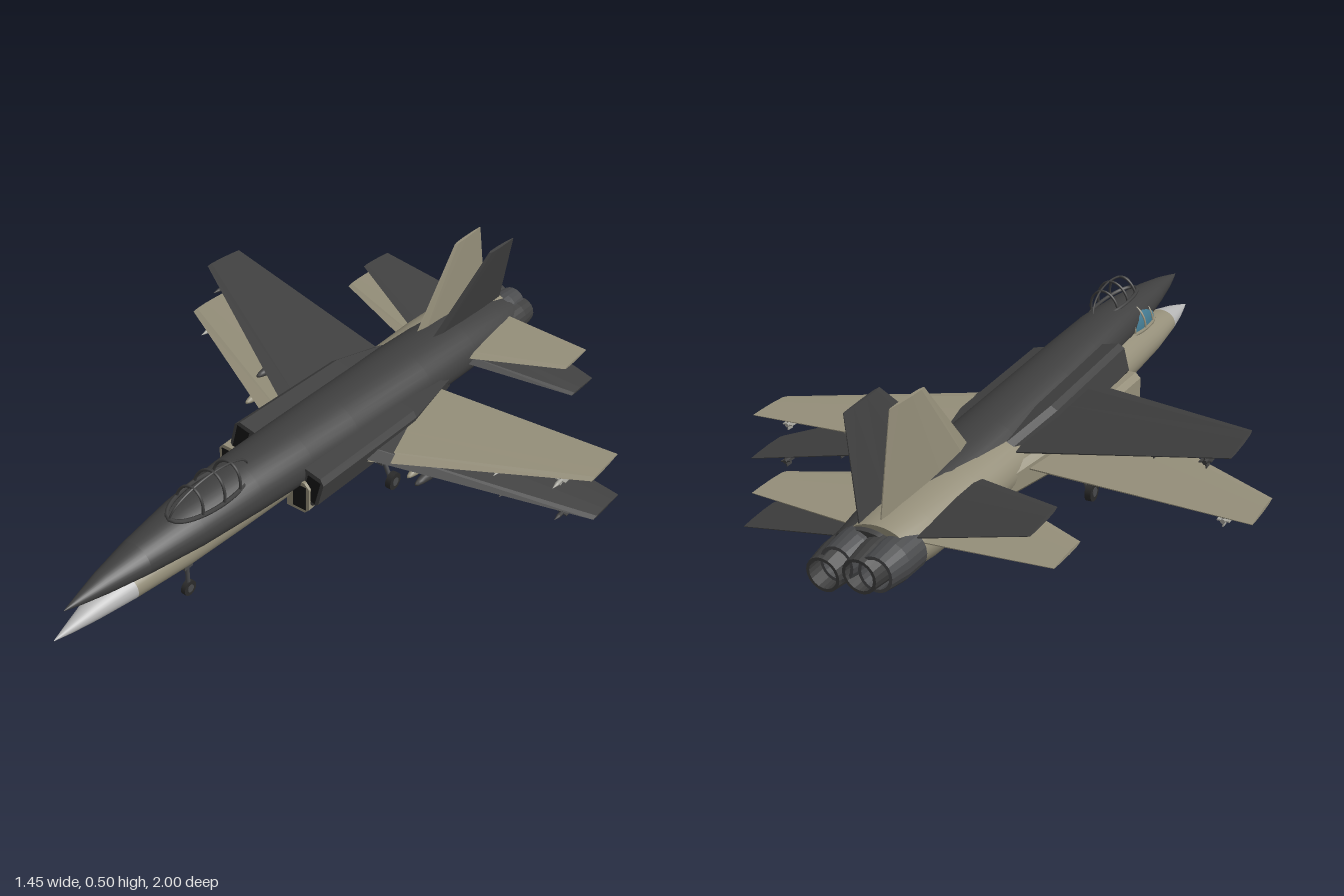
import * as THREE from 'three';

const mat = (name, color) => {
  const m = new THREE.MeshStandardMaterial({ color });
  m.name = name;
  return m;
};
const tan = mat('tan', 0x948e79);
const dark = mat('charcoal', 0x3f3f3f);
const noseGrey = mat('radome grey', 0xb4b4b4);
const glass = mat('canopy blue', 0x42788f);
const metal = mat('dark metal', 0x48494b);
const rubber = mat('rubber', 0x2a2a2a);
const black = mat('intake black', 0x161616);
const pale = mat('store grey', 0xa5a49c);

const V = (x, y, z) => new THREE.Vector3(x, y, z);

// Skin a list of rings, closing both ends with a fan
function loft(rings, { flip = false, flat = false } = {}) {
  const cap = r => {
    const c = r.reduce((s, p) => s.add(p), V(0, 0, 0)).divideScalar(r.length);
    return r.map(() => c);
  };
  const first = rings[0], last = rings[rings.length - 1];
  const all = [cap(first), first, ...rings, last, cap(last)];
  const n = first.length, idx = [];
  for (let i = 0; i < all.length - 1; i++) {
    for (let j = 0; j < n; j++) {
      const a = i * n + j, b = i * n + (j + 1) % n, c = a + n, d = b + n;
      if (flip) idx.push(a, b, c, b, d, c);
      else idx.push(a, c, b, b, c, d);
    }
  }
  let g = new THREE.BufferGeometry().setFromPoints(all.flat());
  g.setIndex(idx);
  if (flat) g = g.toNonIndexed();
  g.computeVertexNormals();
  return g;
}

// Elliptical body section: [z, half width, top, bottom]
const oval = ([z, w, top, bot]) => Array.from({ length: 32 }, (_, j) => {
  const a = j / 32 * Math.PI * 2;
  return V(w * Math.cos(a), (top + bot) / 2 + (top - bot) / 2 * Math.sin(a), z);
});

// Tapered surface: stations [x, leading z, trailing z, thickness] at height y
function surface(stations, y, side) {
  const foil = [[0, 0], [0.12, 0.4], [0.4, 0.5], [0.75, 0.35], [1, 0.08],
    [1, -0.08], [0.75, -0.35], [0.4, -0.5], [0.12, -0.4]];
  const rings = stations.map(([x, le, te, t]) =>
    foil.map(([u, h]) => V(side * x, y + h * t, le + (te - le) * u)));
  return loft(rings, { flip: side < 0, flat: true });
}

function add(parent, name, geo, material, pos) {
  const m = new THREE.Mesh(geo, material);
  m.name = name;
  if (pos) m.position.set(...pos);
  parent.add(m);
  return m;
}

function rod(parent, name, a, b, r, material) {
  const m = add(parent, name, new THREE.CylinderGeometry(r, r, a.distanceTo(b), 10), material);
  m.position.copy(a).lerp(b, 0.5);
  m.quaternion.setFromUnitVectors(V(0, 1, 0), b.clone().sub(a).normalize());
}

const along = g => g.rotateX(Math.PI / 2);

function canopy(jet, paint, glazed) {
  const zc = 0.52, len = 0.145, w = 0.05, base = 0.068, h = 0.068;
  if (glazed) {
    const dome = new THREE.SphereGeometry(1, 32, 12, 0, Math.PI * 2, 0, Math.PI / 2);
    add(jet, 'canopyGlass', dome.scale(w, h, len), glass, [0, base, zc]);
  }
  const tube = (name, fn, closed, r = 0.004) => {
    const pts = Array.from({ length: 24 }, (_, i) => fn(i / (closed ? 24 : 23)));
    const curve = new THREE.CatmullRomCurve3(pts, closed);
    add(jet, name, new THREE.TubeGeometry(curve, 40, r, 6, closed), paint);
  };
  tube('canopyRail', t => V(w * Math.cos(t * 2 * Math.PI), base, zc + len * Math.sin(t * 2 * Math.PI)), true, 0.006);
  for (const u of [-0.45, 0, 0.5]) {
    const k = Math.sqrt(1 - u * u);
    tube('canopyArch', t => V(k * w * Math.cos(t * Math.PI), base + k * h * Math.sin(t * Math.PI), zc + u * len), false);
  }
  tube('canopySpine', t => V(0, base + h * Math.sin(t * Math.PI), zc + len * Math.cos(t * Math.PI)), false, 0.003);
}

// Missile with pylon and crossed fins
function missile(jet, x, z, material, paint) {
  const g = new THREE.Group();
  g.name = 'missile';
  g.position.set(x, -0.028, z);
  add(g, 'missileBody', along(new THREE.CylinderGeometry(0.006, 0.006, 0.15, 10)), material);
  add(g, 'missileNose', along(new THREE.ConeGeometry(0.006, 0.025, 10)), material, [0, 0, 0.087]);
  for (const fz of [-0.06, 0.045]) {
    add(g, 'missileFin', new THREE.BoxGeometry(0.032, 0.003, 0.022), material, [0, 0, fz]);
    add(g, 'missileFin', new THREE.BoxGeometry(0.003, 0.032, 0.022), material, [0, 0, fz]);
  }
  add(g, 'pylon', new THREE.BoxGeometry(0.006, 0.03, 0.07), paint, [0, 0.015, 0]);
  jet.add(g);
}

function wheel(jet, x, y, z, r, w) {
  const g = new THREE.CylinderGeometry(r, r, w, 20).rotateZ(Math.PI / 2);
  add(jet, 'tyre', g, rubber, [x, y, z]);
  const hub = new THREE.CylinderGeometry(r * 0.5, r * 0.5, w + 0.004, 14).rotateZ(Math.PI / 2);
  add(jet, 'hub', hub, metal, [x, y, z]);
}

function landingGear(jet) {
  const floor = -0.195;
  rod(jet, 'noseStrut', V(0, -0.05, 0.55), V(0, floor + 0.022, 0.55), 0.006, metal);
  rod(jet, 'noseBrace', V(0, -0.06, 0.49), V(0, -0.1, 0.55), 0.004, metal);
  add(jet, 'noseLamp', new THREE.BoxGeometry(0.014, 0.025, 0.03), metal, [0, -0.09, 0.55]);
  wheel(jet, 0, floor + 0.022, 0.55, 0.022, 0.014);
  for (const s of [-1, 1]) {
    rod(jet, 'mainStrut', V(s * 0.115, -0.06, -0.135), V(s * 0.165, floor + 0.028, -0.135), 0.007, metal);
    rod(jet, 'mainBrace', V(s * 0.07, -0.06, -0.135), V(s * 0.15, -0.13, -0.135), 0.004, metal);
    add(jet, 'gearLink', new THREE.BoxGeometry(0.02, 0.03, 0.04), metal, [s * 0.137, -0.1, -0.135]);
    wheel(jet, s * 0.173, floor + 0.027, -0.135, 0.027, 0.018);
  }
}

function makeJet(name, paint, nosePaint, storePaint, glazed, gear) {
  const jet = new THREE.Group();
  jet.name = name;

  // Nose and fuselage
  const joint = [0.77, 0.052, 0.046, -0.036];
  add(jet, 'noseCone', loft([
    [1, 0.001, -0.004, -0.006], [0.95, 0.014, 0.009, -0.016],
    [0.88, 0.031, 0.026, -0.025], joint].map(oval)), nosePaint);
  add(jet, 'fuselage', loft([joint,
    [0.6, 0.075, 0.069, -0.05], [0.4, 0.09, 0.084, -0.06], [0.2, 0.098, 0.084, -0.07],
    [0, 0.105, 0.082, -0.08], [-0.35, 0.112, 0.08, -0.085], [-0.6, 0.112, 0.077, -0.085],
    [-0.8, 0.105, 0.066, -0.082], [-0.9, 0.092, 0.055, -0.074]].map(oval)), paint);
  canopy(jet, paint, glazed);

  // Fin
  const fin = surface([[0.06, -0.47, -0.88, 0.02], [0.305, -0.68, -0.825, 0.01]], 0, 1);
  add(jet, 'fin', fin.rotateZ(Math.PI / 2), paint);

  for (const s of [-1, 1]) {
    // Wings and tailplanes
    add(jet, 'wing', surface([[0.07, 0.08, -0.392, 0.022], [0.713, -0.28, -0.43, 0.01]], 0, s), paint);
    add(jet, 'tailplane', surface([[0.06, -0.53, -0.858, 0.018], [0.402, -0.695, -0.828, 0.009]], 0.012, s), paint);

    // Intake trunk and its opening
    const trunk = [[0.235, 0.155, 0.04, -0.058], [-0.2, 0.155, 0.04, -0.06],
      [-0.48, 0.105, 0.02, -0.055]].map(([z, x, top, bot]) => [
      V(s * x, bot + 0.015, z), V(s * x, top - 0.015, z), V(s * (x - 0.015), top, z),
      V(s * 0.08, top, z), V(s * 0.08, bot, z), V(s * (x - 0.015), bot, z)]);
    add(jet, 'intake', loft(trunk, { flip: s < 0, flat: true }), paint);
    add(jet, 'intakeOpening', new THREE.BoxGeometry(0.042, 0.075, 0.004), black, [s * 0.124, -0.009, 0.235]);

    // Engine nozzle, open at the back
    const profile = [[0.001, 0.06], [0.036, 0.06], [0.036, 0], [0.044, 0], [0.052, 0.06], [0.052, 0.13]];
    const nozzle = new THREE.LatheGeometry(profile.map(p => new THREE.Vector2(...p)), 20)
      .rotateX(Math.PI / 2).toNonIndexed();
    nozzle.computeVertexNormals();
    const nozzleMat = paint === dark ? dark : metal;
    add(jet, 'nozzle', nozzle, nozzleMat, [s * 0.05, -0.012, -0.985]);
    add(jet, 'nozzleCore', along(new THREE.CylinderGeometry(0.036, 0.036, 0.004, 20)), black, [s * 0.05, -0.012, -0.93]);

    // Stores under the wing
    missile(jet, s * 0.475, -0.27, storePaint, paint);
    missile(jet, s * 0.63, -0.32, storePaint, paint);
    add(jet, 'dropTank', new THREE.SphereGeometry(1, 20, 14).scale(0.018, 0.018, 0.14), paint, [s * 0.288, -0.036, -0.17]);
    add(jet, 'tankPylon', new THREE.BoxGeometry(0.008, 0.03, 0.12), paint, [s * 0.288, -0.015, -0.18]);
  }
  if (gear) landingGear(jet);
  return jet;
}

export function createModel() {
  const model = new THREE.Group();
  model.name = 'jetPair';

  // Level tan jet on its wheels
  const level = makeJet('tanJet', tan, noseGrey, pale, true, true);
  level.position.set(-0.012, 0.195, 0);

  // Dark jet, nose up and banked to its left
  const banked = makeJet('darkJet', dark, dark, dark, false, false);
  banked.position.set(0.025, 0.238, -0.012);
  banked.rotation.set(-0.064, 0, -0.213);

  model.add(level, banked);
  return model;
}
